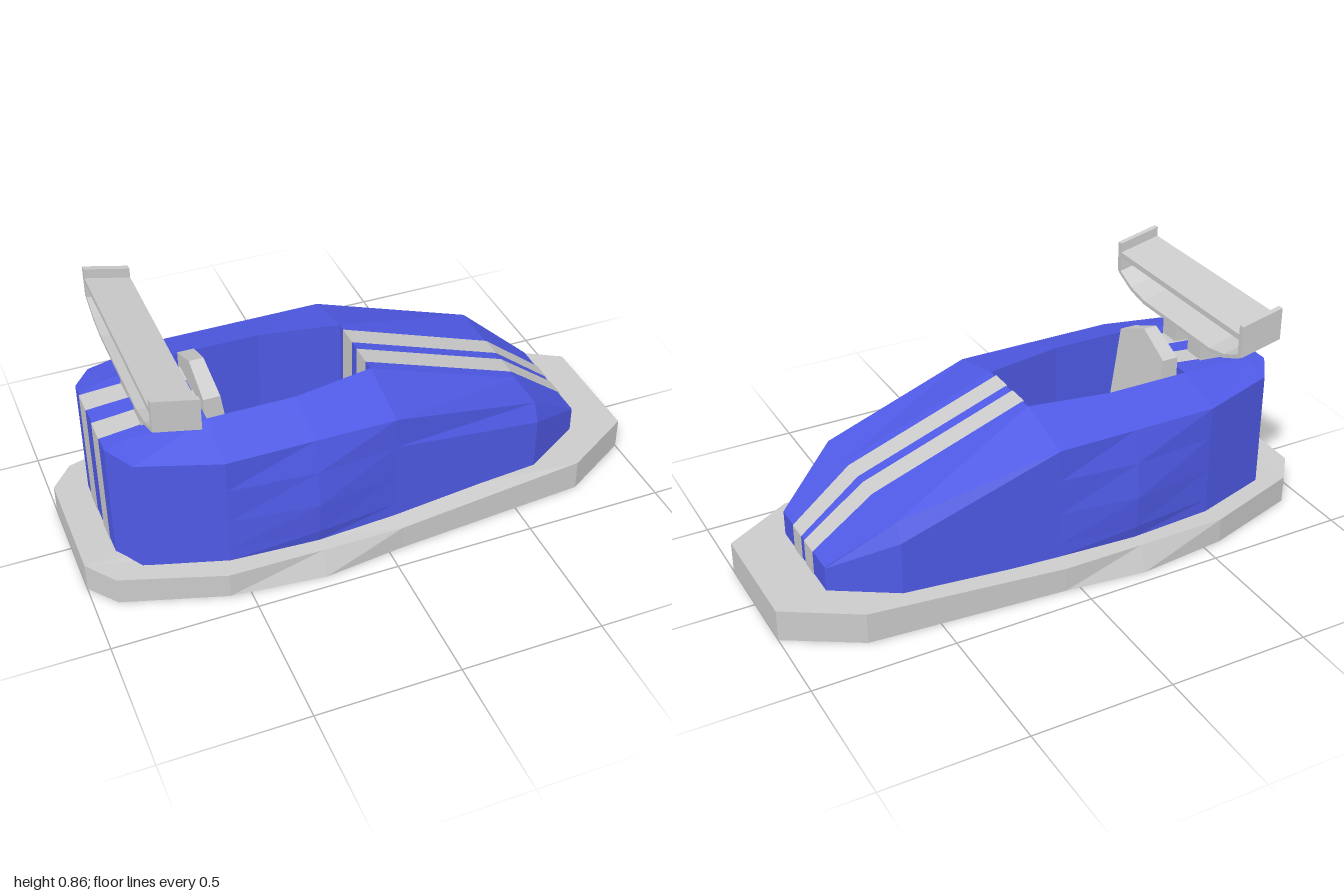
import * as THREE from 'three';

const grey = new THREE.MeshStandardMaterial({ color: 0xcccccc, flatShading: true, side: THREE.DoubleSide });
const blue = new THREE.MeshStandardMaterial({ color: 0x4f5ae6, flatShading: true, side: THREE.DoubleSide });

// Mesh from a list of quads / triangles, each corner an [x, y, z]
function facesMesh(name, faces, material) {
  const pos = [];
  for (const f of faces)
    for (let k = 1; k < f.length - 1; k++) pos.push(...f[0], ...f[k], ...f[k + 1]);
  const geo = new THREE.BufferGeometry();
  geo.setAttribute('position', new THREE.Float32BufferAttribute(pos, 3));
  geo.computeVertexNormals();
  const mesh = new THREE.Mesh(geo, material);
  mesh.name = name;
  return mesh;
}

// Adds the copy mirrored across z = 0
const mirrored = faces => [...faces, ...faces.map(f => f.map(([x, y, z]) => [x, y, -z]).reverse())];

// Closed solid through rings of equal length, turned outward by its signed volume
function loft(name, rings, material = grey) {
  const n = rings[0].length;
  let faces = [[...rings[0]].reverse(), rings[rings.length - 1]];
  for (let i = 0; i < rings.length - 1; i++)
    for (let j = 0; j < n; j++) {
      const k = (j + 1) % n;
      faces.push([rings[i][j], rings[i][k], rings[i + 1][k], rings[i + 1][j]]);
    }
  let volume = 0;
  const v = p => new THREE.Vector3(...p);
  for (const f of faces)
    for (let k = 1; k < f.length - 1; k++) volume += v(f[0]).dot(v(f[k]).cross(v(f[k + 1])));
  if (volume < 0) faces = faces.map(f => [...f].reverse());
  return facesMesh(name, faces, material);
}

// Side profile (x, y) swept between z values, with an optional rise per z
const sweep = (name, profile, stops) =>
  loft(name, stops.map(([z, rise = 0]) => profile.map(([x, y]) => [x, y + rise, z])));

// Low skirt under the body
function skirt() {
  // x, half width at the bottom, half width at the top, top height
  const outline = [
    [-1, 0.21, 0.21, 0.105], [-0.92, 0.31, 0.31, 0.1], [-0.57, 0.42, 0.42, 0.093],
    [-0.24, 0.455, 0.42, 0.09], [0.05, 0.42, 0.42, 0.09], [0.75, 0.365, 0.365, 0.113], [1, 0.215, 0.215, 0.115],
  ];
  const ring = point => [
    ...outline.map(o => point(o, 1)),
    ...[...outline].reverse().map(o => point(o, -1)),
  ];
  return loft('skirt', [
    ring(([x, b], s) => [x, 0, s * b]),
    ring(([x, , t, y], s) => [x, y, s * t]),
  ]);
}

// Body shell with an open cockpit
const FLOOR = 0.2;
function body() {
  // x, five side points [y, z] from the bottom to the shoulder, then the deck edge
  const wall = (z, y3, y4, bulge = [0, 0, 0, 0]) =>
    [0.1, Math.min(0.15, y3 * 0.6), Math.min(0.27, y3 * 0.85), y3].map((y, i) => [y, z + bulge[i]]).concat([[y4, z]]);
  const nose = wall(0.185, 0.2, 0.205), tail = wall(0.18, 0.4, 0.54);
  const atCentre = rows => rows.map(([y]) => [y, 0]);
  const fore = [...wall(0.315, 0.305, 0.37).slice(0, 4), [0.37, 0.285]];
  const stations = [
    [-0.885, atCentre(tail), [0.54, 0]],
    [-0.885, tail, [0.54, 0.13]],
    [-0.82, wall(0.275, 0.4, 0.525), [0.546, 0.16]],
    [-0.545, wall(0.36, 0.4, 0.515), [0.57, 0.185]],
    [-0.24, wall(0.36, 0.4, 0.515, [0.018, 0.03, 0.038, 0.025]), [0.57, 0.185]],
    [0.045, wall(0.36, 0.4, 0.515), [0.57, 0.135]],
    [0.6, fore, [0.37, 0.135]],
    [0.815, nose, [0.205, 0.1]],
    [0.815, atCentre(nose), [0.205, 0]],
  ].map(([x, side, edge]) => [...side, edge, [edge[0], 0]].map(([y, z]) => [x, y, z]));

  const faces = [];
  const down = p => [p[0], FLOOR, p[2]];
  for (let i = 0; i < stations.length - 1; i++) {
    const a = stations[i], b = stations[i + 1];
    const open = i === 3 || i === 4;
    for (let j = 0; j < (open ? 5 : 6); j++) faces.push([a[j], b[j], b[j + 1], a[j + 1]]);
    if (open) {
      // cockpit side wall and floor
      faces.push([down(a[5]), a[5], b[5], down(b[5])]);
      faces.push([down(a[6]), down(a[5]), down(b[5]), down(b[6])]);
    }
  }
  // cockpit end walls
  const r = stations[3], f = stations[5];
  faces.push([down(f[6]), down(f[5]), f[5], f[6]]);
  faces.push([r[6], r[5], down(r[5]), down(r[6])]);
  return facesMesh('body', mirrored(faces), blue);
}

// Pair of stripes following a path of x, y, inner z, outer z
function stripes(name, path) {
  const faces = [];
  for (let i = 0; i < path.length - 1; i++) {
    const [x, y, zi, zo] = path[i], [X, Y, Zi, Zo] = path[i + 1];
    faces.push([[x, y, zi], [x, y, zo], [X, Y, Zo], [X, Y, Zi]]);
  }
  return facesMesh(name, mirrored(faces), grey);
}

// Seat with a pitched headrest
function seat() {
  const group = new THREE.Group();
  group.name = 'seat';
  const house = [[FLOOR, 0.14], [0.61, 0.14], [0.67, 0], [0.61, -0.14], [FLOOR, -0.14]];
  group.add(loft('backrest', [
    house.map(([y, z]) => [-0.54, y, z]),
    house.map(([y, z]) => [-0.49 + (0.67 - y) * 0.14, y, z]),
  ]));
  const cushion = [[-0.5, 0.14], [-0.115, 0.14], [-0.095, 0], [-0.115, -0.14], [-0.5, -0.14]];
  group.add(loft('cushion', [FLOOR, 0.26].map(y => cushion.map(([x, z]) => [x, y, z]))));
  return group;
}

// Two-plane rear wing on twin pylons
function wing() {
  const group = new THREE.Group();
  group.name = 'rearWing';
  const F = -0.62, B = -0.775;
  group.add(sweep('upperPlane', [[F, 0.765], [F, 0.785], [B, 0.82], [B, 0.8]], [[-0.38], [0.38]]));
  group.add(sweep('lowerPlane', [[F, 0.645], [F, 0.66], [B, 0.695], [B, 0.68]],
    [[-0.385, 0.055], [-0.3, 0.017], [-0.21], [0.21], [0.3, 0.017], [0.385, 0.055]]));
  for (const s of [1, -1]) {
    group.add(sweep('endPlate', [[F, 0.705], [F, 0.82], [B, 0.855], [B, 0.74]], [[s * 0.375], [s * 0.395]]));
    group.add(sweep('pylon', [[-0.65, 0.55], [-0.65, 0.66], [-0.745, 0.68], [-0.745, 0.54]], [[s * 0.04], [s * 0.12]]));
  }
  return group;
}

export function createModel() {
  const model = new THREE.Group();
  model.name = 'racingHovercar';
  model.add(skirt(), body(), seat(), wing());
  model.add(stripes('frontStripes', [
    [0.042, FLOOR, 0.02, 0.1], [0.042, 0.574, 0.02, 0.1], [0.602, 0.374, 0.02, 0.1],
    [0.818, 0.208, 0.013, 0.088], [0.818, 0.1, 0.013, 0.088],
  ]));
  model.add(stripes('rearStripes', [
    [-0.888, 0.1, 0.035, 0.122], [-0.888, 0.543, 0.035, 0.122], [-0.82, 0.549, 0.035, 0.12],
    [-0.542, 0.573, 0.03, 0.11], [-0.542, FLOOR, 0.03, 0.11],
  ]));
  return model;
}
